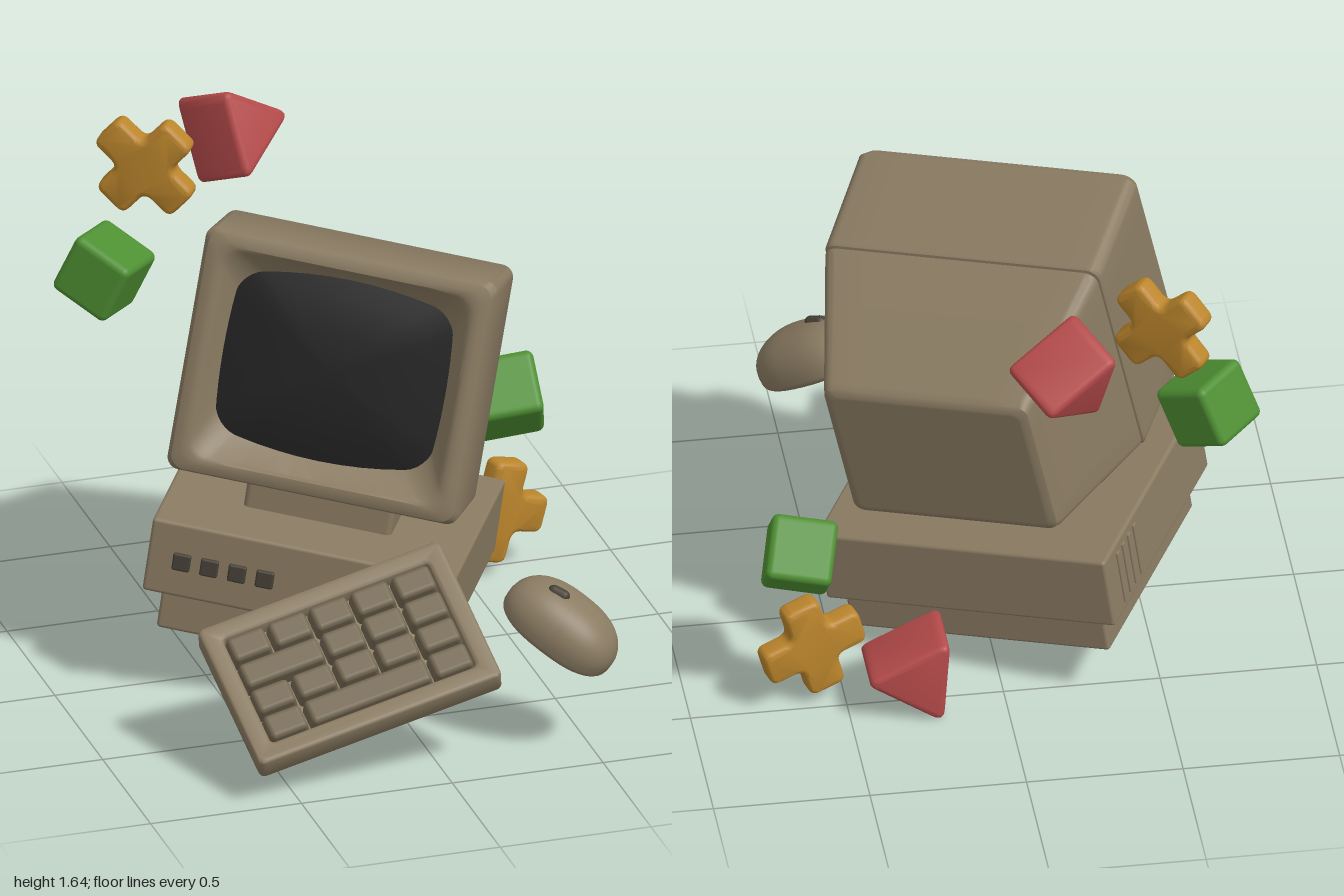
import * as THREE from 'three';
import { toCreasedNormals } from 'three/addons/utils/BufferGeometryUtils.js';
import { RoundedBoxGeometry } from 'three/addons/geometries/RoundedBoxGeometry.js';

const mat = (color) => new THREE.MeshStandardMaterial({ color });
const BODY = mat(0x8a7b62), KEY = mat(0x766a54), DARK = mat(0x464036), SCREEN = mat(0x232324);
const GREEN = mat(0x4f9033), RED = mat(0xb54a4a), ORANGE = mat(0xbb852c);

function add(parent, name, geometry, material, x = 0, y = 0, z = 0) {
  const mesh = new THREE.Mesh(geometry, material);
  mesh.name = name;
  mesh.position.set(x, y, z);
  parent.add(mesh);
  return mesh;
}

// Pose an object by its position and its own x and y axes
function place(object, position, xAxis, yAxis) {
  const x = new THREE.Vector3(...xAxis).normalize();
  const z = new THREE.Vector3().crossVectors(x, new THREE.Vector3(...yAxis)).normalize();
  const y = new THREE.Vector3().crossVectors(z, x);
  object.quaternion.setFromRotationMatrix(new THREE.Matrix4().makeBasis(x, y, z));
  object.position.set(...position);
  return object;
}

function group(parent, name) {
  const g = new THREE.Group();
  g.name = name;
  parent.add(g);
  return g;
}

const box = (w, h, d, r) => new RoundedBoxGeometry(w, h, d, 3, r);

// Polygon outline with rounded corners
function roundedPoly(points, r, target = new THREE.Shape()) {
  const pts = points.map((p) => new THREE.Vector2(...p));
  pts.forEach((p, i) => {
    const toward = (q) => q.clone().sub(p).setLength(r).add(p);
    const a = toward(pts[(i + pts.length - 1) % pts.length]);
    const b = toward(pts[(i + 1) % pts.length]);
    if (i) target.lineTo(a.x, a.y); else target.moveTo(a.x, a.y);
    target.quadraticCurveTo(p.x, p.y, b.x, b.y);
  });
  target.closePath();
  return target;
}

const rectPoints = (w, h) => [[-w / 2, -h / 2], [w / 2, -h / 2], [w / 2, h / 2], [-w / 2, h / 2]];

// Solid with softly bevelled edges, centred on its depth
function softExtrude(shape, thickness, bevel) {
  const g = new THREE.ExtrudeGeometry(shape, {
    depth: thickness - 2 * bevel, bevelThickness: bevel, bevelSize: bevel,
    bevelOffset: -bevel, bevelSegments: 4, curveSegments: 6,
  });
  g.translate(0, 0, bevel - thickness / 2);
  return toCreasedNormals(g, 0.7);
}

// Rounded rectangle section at depth z; bulge bows the sides outward
function section(z, hw, v0, v1, r, bulge = 0) {
  const pts = [], hh = (v1 - v0) / 2, mid = (v0 + v1) / 2;
  const corners = [[1, 1], [-1, 1], [-1, -1], [1, -1]];
  corners.forEach(([sx, sy], c) => {
    const cx = sx * (hw - r), cy = sy * (hh - r);
    for (let i = 0; i <= 6; i++) {
      const a = (c + i / 6) * Math.PI / 2;
      pts.push([cx + r * Math.cos(a), cy + r * Math.sin(a)]);
    }
    const [nx, ny] = corners[(c + 1) % 4], a = (c + 1) * Math.PI / 2;
    const ex = nx * (hw - r) + r * Math.cos(a), ey = ny * (hh - r) + r * Math.sin(a);
    const [lx, ly] = pts[pts.length - 1];
    for (let i = 1; i < 8; i++) pts.push([lx + (ex - lx) * i / 8, ly + (ey - ly) * i / 8]);
  });
  return pts.map(([x, y]) => [
    x + 0.4 * bulge * (x / hw) * (1 - (y / hh) ** 2),
    y + bulge * (y / hh) * (1 - (x / hw) ** 2) + mid, z]);
}

// Skin a list of equal-length sections, running from front to back
function loft(sections, crease) {
  const n = sections[0].length, index = [];
  for (let s = 0; s < sections.length - 1; s++) {
    for (let i = 0; i < n; i++) {
      const j = (i + 1) % n, a = s * n, b = a + n;
      index.push(a + i, b + i, b + j, a + i, b + j, a + j);
    }
  }
  const g = new THREE.BufferGeometry();
  g.setAttribute('position', new THREE.Float32BufferAttribute(sections.flat(2), 3));
  g.setIndex(index);
  return toCreasedNormals(g, crease);
}

function buildMonitor(parent) {
  const monitor = group(parent, 'monitor');
  monitor.position.set(0, 0.567, 0.367);
  monitor.rotation.x = -0.155;
  const back = section(-0.865, 0.315, -0.298, 0.182, 0.03);
  // Shell: screen recess, bezel, front hood, seam, tapered back
  add(monitor, 'monitorShell', loft([
    section(-0.05, 0.335, -0.235, 0.262, 0.07, 0.045),
    section(0.01, 0.388, -0.318, 0.335, 0.065, 0.02),
    section(0.024, 0.4, -0.33, 0.347, 0.06, 0.01),
    section(0.03, 0.416, -0.343, 0.36, 0.06),
    section(0.03, 0.436, -0.362, 0.376, 0.05),
    section(0.02, 0.459, -0.384, 0.4, 0.045),
    section(-0.006, 0.473, -0.394, 0.411, 0.04),
    section(-0.375, 0.469, -0.412, 0.378, 0.04),
    section(-0.383, 0.464, -0.407, 0.373, 0.04),
    section(-0.385, 0.455, -0.398, 0.364, 0.04),
    section(-0.391, 0.455, -0.398, 0.364, 0.04),
    section(-0.394, 0.463, -0.406, 0.372, 0.04),
    section(-0.41, 0.46, -0.404, 0.367, 0.04),
    section(-0.83, 0.352, -0.337, 0.222, 0.035),
    section(-0.852, 0.345, -0.328, 0.212, 0.035),
    section(-0.865, 0.325, -0.308, 0.192, 0.03),
    back, back.map(() => [0, -0.058, -0.865]),
  ], 0.6), BODY);
  // Domed glass
  const glass = [0.2, 0.4, 0.6, 0.8, 1].map((k) => section(0.015 - 0.055 * k * k,
    0.345 * k, 0.015 - 0.255 * k, 0.015 + 0.255 * k, 0.07 * k, 0.045 * k));
  glass.unshift(glass[0].map(() => [0, 0.015, 0.017]));
  add(monitor, 'screen', loft(glass, 0.8), SCREEN);
}

function buildComputer(root) {
  const computer = group(root, 'computer');
  place(computer, [-0.08, 0.53, -0.045], [0.869, -0.131, 0.475], [0.142, 0.989, 0.014]);
  add(computer, 'upperCase', box(0.982, 0.25, 0.87, 0.012), BODY, 0.004, -0.125, 0);
  add(computer, 'lowerCase', box(0.88, 0.16, 0.78, 0.012), BODY, 0.01, -0.305, 0);
  add(computer, 'monitorNeck', box(0.48, 0.18, 0.39, 0.02), BODY, 0, 0.05, 0);
  for (let i = 0; i < 4; i++) {
    add(computer, 'frontButton', box(0.058, 0.058, 0.03, 0.007), DARK, -0.375 + i * 0.09, -0.128, 0.432);
    add(computer, 'sideVent', box(0.014, 0.19, 0.022, 0.004), BODY, -0.487, -0.125, -0.33 + i * 0.05);
  }
  buildMonitor(computer);
}

// Keycap narrowing toward its top
function keycap(w, d) {
  const g = box(w, 0.07, d, 0.016), p = g.attributes.position;
  for (let i = 0; i < p.count; i++) {
    const inset = 0.008 * (p.getY(i) / 0.07 + 0.5);
    p.setX(i, p.getX(i) - Math.sign(p.getX(i)) * inset);
    p.setZ(i, p.getZ(i) - Math.sign(p.getZ(i)) * inset);
  }
  return g;
}

function buildKeyboard(root) {
  const keyboard = group(root, 'keyboard');
  place(keyboard, [-0.26, 0.35, 0.75], [0.97, 0.245, 0], [-0.203, 0.804, 0.559]);
  const frame = roundedPoly(rectPoints(0.83, 0.53), 0.025);
  frame.holes.push(roundedPoly(rectPoints(0.7, 0.4), 0.015, new THREE.Path()));
  add(keyboard, 'keyboardFrame', softExtrude(frame, 0.095, 0.015).rotateX(-Math.PI / 2), BODY);
  add(keyboard, 'keyboardBase', box(0.8, 0.04, 0.5, 0.01), BODY, 0, -0.027, 0);
  // Key widths in each row, back to front
  const rows = [[1, 1, 1, 1, 1], [2, 1, 1, 1], [1, 1, 1, 1, 1], [1, 3, 1]];
  const px = 0.141, pz = 0.101;
  rows.forEach((row, r) => {
    let x = -2.5 * px;
    for (const units of row) {
      const w = units * px;
      add(keyboard, 'key', keycap(w - 0.002, pz), KEY, x + w / 2, 0.022, (r - 1.5) * pz);
      x += w;
    }
  });
}

function buildMouse(root) {
  const mouse = group(root, 'mouse');
  place(mouse, [0.415, 0.4, 0.825], [0.625, 0, -0.778], [0.41, 0.85, 0.33]);
  // Domed top over a shallow, flattened underside
  const g = new THREE.SphereGeometry(1, 40, 28), p = g.attributes.position;
  const soft = (v, k) => Math.sign(v) * Math.abs(v) ** k;
  for (let i = 0; i < p.count; i++) {
    const y = p.getY(i);
    p.setXYZ(i, soft(p.getX(i), 0.85) * 0.132, y > 0 ? y * 0.12 : soft(y, 0.45) * 0.06,
      soft(p.getZ(i), 0.8) * 0.2);
  }
  g.computeVertexNormals();
  add(mouse, 'mouseBody', g, BODY);
  const wheel = new THREE.CapsuleGeometry(0.02, 0.035, 6, 12).rotateX(Math.PI / 2);
  add(mouse, 'mouseWheel', wheel, DARK, -0.02, 0.108, -0.065).rotation.x = -0.2;
}

function buildShapes(root) {
  const cube = box(0.212, 0.212, 0.212, 0.024);
  place(add(root, 'greenCube', cube, GREEN), [-0.635, 1.14, -0.635], [-0.707, 0.08, 0.707], [0.28, 0.9, 0.3]);
  place(add(root, 'greenCube', cube, GREEN), [0.65, 0.585, -0.49], [0.97, 0.14, 0.17], [-0.24, 0.72, 0.68]);

  // Triangular prisms: one corner along local x, length along local z
  const corners = [0, 1, 2].map((i) => i * Math.PI * 2 / 3)
    .map((a) => [0.18 * Math.cos(a), 0.18 * Math.sin(a)]);
  const prism = softExtrude(roundedPoly(corners, 0.05), 0.225, 0.022);
  place(add(root, 'redPrism', prism, RED), [-0.15, 1.46, -0.855], [0.8, -0.05, -0.5], [-0.15, 0.872, -0.328]);
  place(add(root, 'redPrism', prism, RED), [0.285, 0.137, -0.515], [1, 0.07, 0], [-0.07, 1, 0]);

  // Plus signs
  const w = 0.062, r = 0.17, plusPoints = [];
  for (let i = 0; i < 4; i++) {
    const c = Math.round(Math.cos(i * Math.PI / 2)), s = Math.round(Math.sin(i * Math.PI / 2));
    for (const [x, y] of [[r, -w], [r, w], [w, w]]) plusPoints.push([x * c - y * s, x * s + y * c]);
  }
  const plus = softExtrude(roundedPoly(plusPoints, 0.03), 0.08, 0.02);
  place(add(root, 'orangePlus', plus, ORANGE), [-0.485, 1.472, -0.67], [0.56, 0.74, 0.37], [-0.61, 0.67, -0.41]);
  place(add(root, 'orangePlus', plus, ORANGE), [0.607, 0.21, -0.455], [0.93, -0.27, -0.24], [0.26, 0.96, -0.05]);
}

export function createModel() {
  const root = new THREE.Group();
  root.name = 'desktopComputerSet';
  buildComputer(root);
  buildKeyboard(root);
  buildMouse(root);
  buildShapes(root);
  return root;
}
